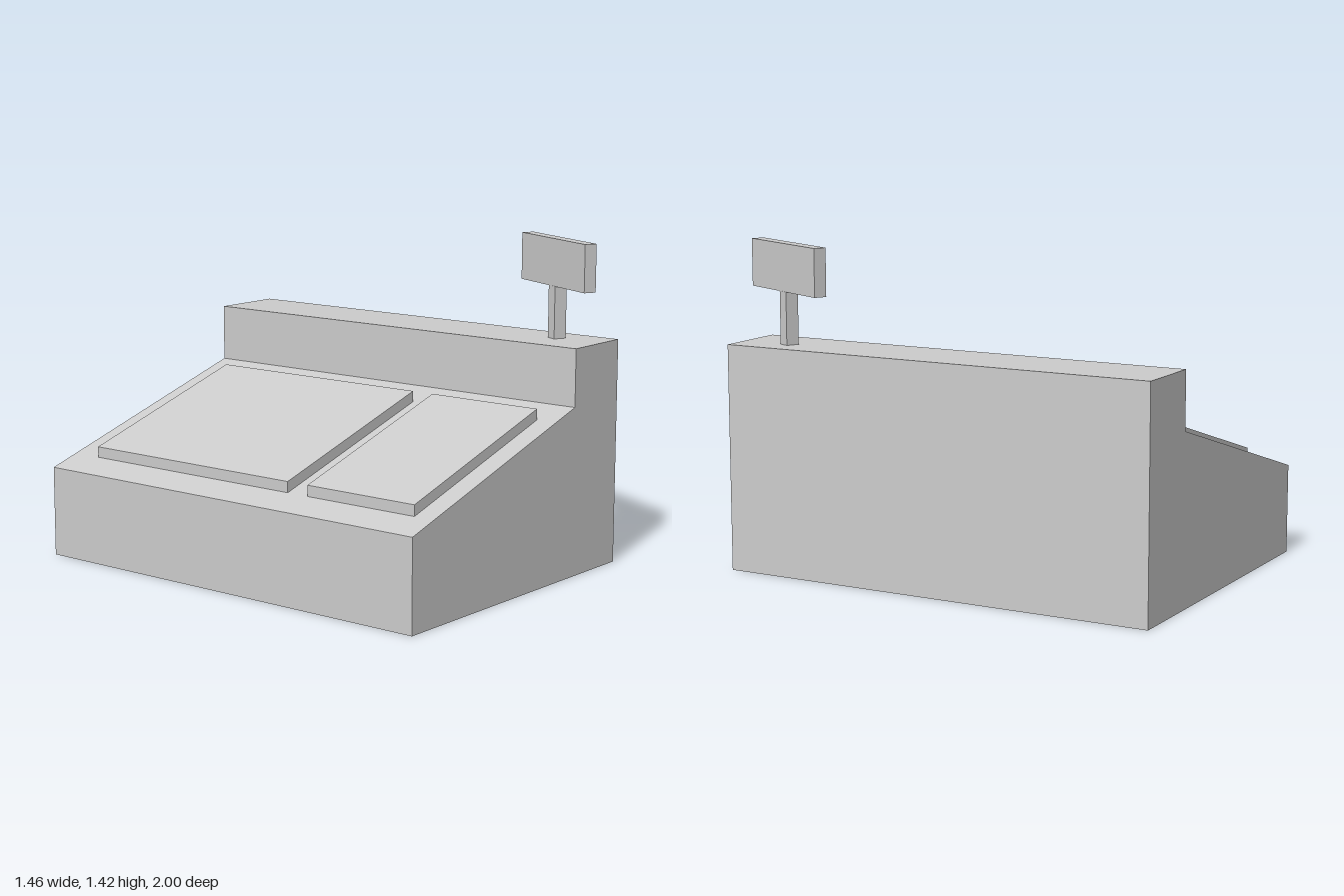
import * as THREE from 'three';

const grey = new THREE.MeshStandardMaterial({ color: 0xcccccc, flatShading: true });

// Extrude a side profile (x, y) along z between two depths
function extrudeProfile(name, points, zBack, zFront) {
  const shape = new THREE.Shape(points.map(([x, y]) => new THREE.Vector2(x, y)));
  const geometry = new THREE.ExtrudeGeometry(shape, { depth: zFront - zBack, bevelEnabled: false });
  geometry.translate(0, 0, zBack);
  const mesh = new THREE.Mesh(geometry, grey);
  mesh.name = name;
  return mesh;
}

// Height of the sloping desk surface
const slopeY = (x) => 0.395 + ((x + 0.73) * (0.735 - 0.395)) / (0.395 + 0.73);

export function createModel() {
  const model = new THREE.Group();
  model.name = 'cashRegister';

  // Wedge-shaped body with a raised ledge
  model.add(extrudeProfile('body', [
    [-0.73, 0], [0.725, 0], [0.725, 0.985], [0.395, 0.985], [0.395, 0.735], [-0.73, 0.395],
  ], -1, 0.98));

  // Raised panels lying on the slope
  const x0 = -0.593, x1 = 0.253, lift = 0.047;
  for (const [name, zBack, zFront] of [['largeKeyPanel', -0.86, 0.235], ['smallKeyPanel', 0.34, 0.885]]) {
    model.add(extrudeProfile(name, [
      [x0, slopeY(x0)], [x1, slopeY(x1)], [x1, slopeY(x1) + lift], [x0, slopeY(x0) + lift],
    ], zBack, zFront));
  }

  // Display board on a post, turned together
  const display = new THREE.Group();
  display.name = 'display';
  display.position.set(0.592, 0, 0.753);
  display.rotation.y = Math.atan2(0.47, 0.225);
  const post = new THREE.Mesh(new THREE.BoxGeometry(0.052, 0.23, 0.058), grey);
  post.name = 'displayPost';
  post.position.y = 1.098;
  const board = new THREE.Mesh(new THREE.BoxGeometry(0.521, 0.205, 0.056), grey);
  board.name = 'displayBoard';
  board.position.y = 1.3145;
  display.add(post, board);
  model.add(display);

  return model;
}
